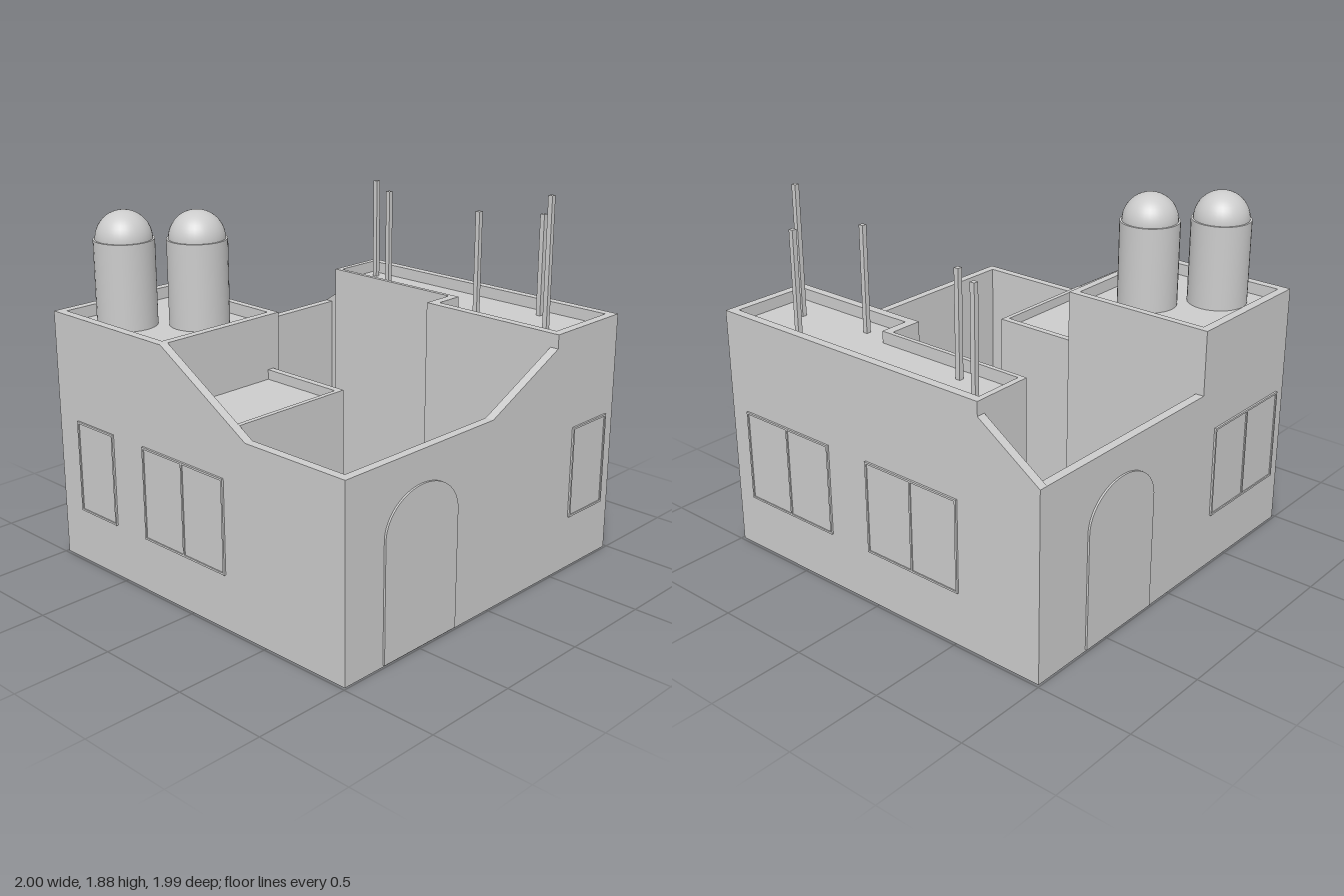
import * as THREE from 'three';

const X = 0.99, Z = 0.985, T = 0.045; // outer half sizes, wall thickness
const XI = X - T, ZI = Z - T;

export function createModel() {
  const model = new THREE.Group();
  const mat = new THREE.MeshStandardMaterial({ color: 0xcccccc });

  const add = (name, geo, parent = model) => {
    const mesh = new THREE.Mesh(geo, mat);
    mesh.name = name;
    parent.add(mesh);
    return mesh;
  };
  const poly = (pts) => new THREE.Shape(pts.map(([a, b]) => new THREE.Vector2(a, b)));
  const extrude = (shape, depth) =>
    new THREE.ExtrudeGeometry(shape, { depth, bevelEnabled: false, curveSegments: 24 });
  // Box from minimum and maximum corners
  const box = (name, x0, x1, y0, y1, z0, z1) =>
    add(name, new THREE.BoxGeometry(x1 - x0, y1 - y0, z1 - z0)
      .translate((x0 + x1) / 2, (y0 + y1) / 2, (z0 + z1) / 2));
  // Upright prism from an (x, z) floor plan
  const plan = (name, pts, y0, y1) =>
    add(name, extrude(poly(pts.map(([x, z]) => [x, -z])), y1 - y0)
      .rotateX(-Math.PI / 2).translate(0, y0, 0));

  // Outer walls with their stepped and sloping tops
  add('frontWall', extrude(poly([
    [-X, 0], [X, 0], [X, 0.97], [0.385, 0.97], [-0.175, 1.3], [-X, 1.3],
  ]), T).translate(0, 0, ZI));
  add('backWall', extrude(poly([
    [-X, 0], [X, 0], [X, 1.27], [-0.645, 1.27], [-0.645, 1.2], [-X, 0.97],
  ]), T).translate(0, 0, -Z));
  add('rightSideWall', extrude(poly([
    [-ZI, 0], [ZI, 0], [ZI, 0.97], [0, 0.97], [-0.485, 1.2], [-0.485, 1.27], [-ZI, 1.27],
  ]), T).rotateY(-Math.PI / 2).translate(X, 0, 0));
  add('leftSideWall', extrude(poly([
    [-ZI, 0], [ZI, 0], [ZI, 1.3], [0.235, 1.3], [0.235, 0.97], [-ZI, 0.97],
  ]), T).rotateY(-Math.PI / 2).translate(-XI, 0, 0));

  // Courtyard floor
  box('courtyardFloor', -XI, XI, 0, 0.02, -ZI, ZI);

  // L-shaped rear rooms and their inner parapet
  plan('rearRooms', [
    [-0.645, -ZI], [-0.645, -0.66], [0.17, -0.66], [0.17, -0.485], [XI, -0.485], [XI, -ZI],
  ], 0.02, 1.21);
  plan('rearParapet', [
    [-0.645, -ZI], [-0.645, -0.66], [0.17, -0.66], [0.17, -0.485], [XI, -0.485],
    [XI, -0.53], [0.217, -0.53], [0.217, -0.683], [-0.615, -0.683], [-0.615, -ZI],
  ], 1.21, 1.27);

  // Corner tower room carrying the tanks
  box('towerRoom', -XI, -0.175, 0.02, 1.24, 0.235, ZI);
  plan('towerParapet', [
    [-XI, 0.235], [-0.175, 0.235], [-0.175, ZI], [-0.215, ZI], [-0.215, 0.272], [-XI, 0.272],
  ], 1.24, 1.3);

  // Low room beside the tower
  box('lowRoom', -0.175, 0.305, 0.02, 0.97, 0.275, ZI);
  plan('lowParapet', [
    [-0.175, 0.275], [0.305, 0.275], [0.305, ZI], [0.28, ZI], [0.28, 0.31], [-0.175, 0.31],
  ], 0.97, 1.02);

  // Domed water tanks
  for (const [x, z] of [[-0.715, 0.745], [-0.465, 0.495]]) {
    const tank = new THREE.Group();
    tank.name = 'waterTank';
    tank.position.set(x, 1.24, z);
    add('tankBody', new THREE.CylinderGeometry(0.15, 0.15, 0.43, 32).translate(0, 0.215, 0), tank);
    add('tankDome', new THREE.SphereGeometry(0.14, 32, 12, 0, Math.PI * 2, 0, Math.PI / 2)
      .translate(0, 0.43, 0), tank);
    model.add(tank);
  }

  // Roof poles: x, z, top
  for (const [x, z, top] of [
    [-0.54, -0.88, 1.75], [-0.34, -0.76, 1.735], [0.6, -0.865, 1.735],
    [0.37, -0.637, 1.75], [0.77, -0.685, 1.88],
  ]) box('roofPole', x - 0.0125, x + 0.0125, 1.21, top, z - 0.0125, z + 0.0125);

  // One group per facade; local +z points outward
  const facade = (name, angle, dist) => {
    const g = new THREE.Group();
    g.name = name;
    g.rotation.y = angle;
    g.position.set(Math.sin(angle) * dist, 0, Math.cos(angle) * dist);
    model.add(g);
    return g;
  };
  const rect = (a, b, c, d) => [[a, c], [b, c], [b, d], [a, d]];

  // Thin frame with slightly recessed panes
  const addWindow = (parent, u0, u1, panes) => {
    const y0 = 0.28, y1 = 0.76, w = 0.01, step = (u1 - u0) / panes;
    const frame = poly(rect(u0, u1, y0, y1));
    for (let i = 0; i < panes; i++) {
      const a = u0 + i * step + (i ? w / 2 : w);
      const b = u0 + (i + 1) * step - (i < panes - 1 ? w / 2 : w);
      frame.holes.push(poly(rect(a, b, y0 + w, y1 - w)));
    }
    add('windowFrame', extrude(frame, 0.015).translate(0, 0, -0.005), parent);
    add('windowPane', extrude(poly(rect(u0 + 0.005, u1 - 0.005, y0 + 0.005, y1 - 0.005)), 0.009)
      .translate(0, 0, -0.005), parent);
  };

  // Arched door leaf
  const addDoor = (parent, u0, u1) => {
    const s = new THREE.Shape();
    s.moveTo(u0, 0.01);
    s.lineTo(u1, 0.01);
    s.lineTo(u1, 0.61);
    s.absellipse((u0 + u1) / 2, 0.61, (u1 - u0) / 2, 0.2, 0, Math.PI, false);
    add('archedDoor', extrude(s, 0.015).translate(0, 0, -0.005), parent);
  };

  const front = facade('frontOpenings', 0, Z);
  addWindow(front, -0.335, 0.235, 2);
  addWindow(front, -0.84, -0.56, 1);
  const back = facade('backOpenings', Math.PI, Z);
  addWindow(back, -0.88, -0.3, 2);
  addWindow(back, -0.05, 0.52, 2);
  const right = facade('rightSideOpenings', Math.PI / 2, X);
  addWindow(right, 0.64, 0.92, 1);
  addDoor(right, -0.74, -0.25);
  const left = facade('leftSideOpenings', -Math.PI / 2, X);
  addWindow(left, 0.35, 0.92, 2);
  addDoor(left, -0.65, -0.16);

  return model;
}
